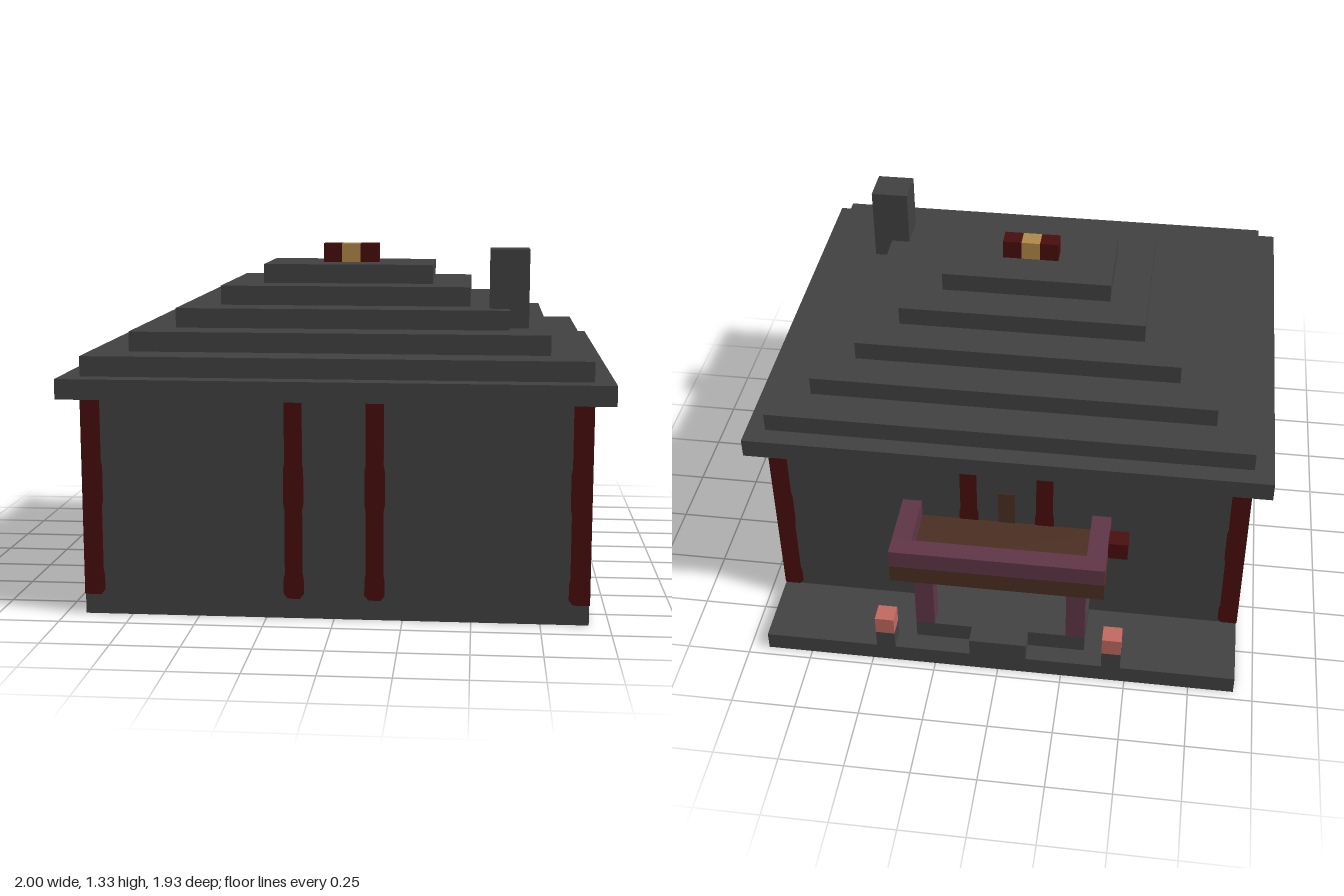
import * as THREE from 'three';

const U = 2 / 27; // one block

const mat = (name, color) => {
  const m = new THREE.MeshStandardMaterial({ color });
  m.name = name;
  return m;
};

export function createModel() {
  const house = new THREE.Group();
  house.name = 'house';
  const stone = mat('dark stone', 0x414141);
  const red = mat('dark red timber', 0x480c0c);
  const purple = mat('purple timber', 0x5e3546);
  const brown = mat('brown timber', 0x4a2e21);
  const gold = mat('gold lantern', 0xb08848);
  const pink = mat('pink lamp', 0xc0685f);

  // Box given by its block limits
  const block = (name, material, x0, x1, y0, y1, z0, z1, parent = house) => {
    const mesh = new THREE.Mesh(
      new THREE.BoxGeometry((x1 - x0) * U, (y1 - y0) * U, (z1 - z0) * U), material);
    mesh.position.set((x0 + x1) / 2 * U, (y0 + y1) / 2 * U, (z0 + z1) / 2 * U);
    mesh.name = name;
    parent.add(mesh);
    return mesh;
  };

  // Walls and the ground slab behind the house
  block('walls', stone, -12.5, 12.5, 0, 11, -9, 12);
  block('rearSlab', stone, -12.5, 12.5, 0, 1, -13, -9);

  // Stepped roof: half width, back z, front z
  const roof = new THREE.Group();
  roof.name = 'roof';
  house.add(roof);
  [[13.5, -10, 13], [12.5, -9, 12], [10.5, -7, 10], [8.5, -5, 8], [6.5, -3, 6], [4.5, -1, 4]]
    .forEach(([w, z0, z1], i) => block('roofStep', stone, -w, w, 11 + i, 12 + i, z0, z1, roof));
  block('chimney', stone, 7.5, 9.5, 13.5, 18, 5, 7, roof);
  block('ridgeCentre', gold, -0.5, 0.5, 17, 18, 1, 2, roof);
  for (const s of [-1, 1]) block('ridgeEnd', red, s - 0.5, s + 0.5, 17, 18, 1, 2, roof);

  // Wall timber: slim strip with a thicker foot and knot; flat = side kept straight at a corner
  const outline = (flat) => {
    const edge = [[0.3, 1], [0.5, 1.25], [0.5, 2], [0.44, 2.3], [0.44, 5.5],
      [0.5, 5.8], [0.5, 7.5], [0.44, 7.8], [0.44, 11]];
    const side = (s) => edge.map(([w, y]) =>
      new THREE.Vector2(s * (flat === s ? 0.5 : w) * U, y * U));
    return new THREE.Shape([...side(1), ...side(-1).reverse()]);
  };
  const timbers = new THREE.Group();
  timbers.name = 'wallTimbers';
  house.add(timbers);
  const timber = (x, z, turn, flat = 0) => {
    const g = new THREE.ExtrudeGeometry(outline(flat), { depth: 0.006, bevelEnabled: false });
    g.translate(0, 0, -0.003);
    const mesh = new THREE.Mesh(g, red);
    mesh.name = 'wallTimber';
    mesh.position.set(x * U, 0, z * U);
    mesh.rotation.y = turn;
    timbers.add(mesh);
  };
  for (const s of [-1, 1]) {
    timber(s * 12, 12, 0, s);
    timber(s * 2, 12, 0);
    timber(s * 12, -9, Math.PI, -s);
    timber(s * 2, -9, Math.PI);
    timber(s * 12.5, 11.5, s * Math.PI / 2, -s);
    timber(s * 12.5, 1.5, s * Math.PI / 2);
    timber(s * 12.5, -8.5, s * Math.PI / 2, s);
  }

  // Rear porch: platform, step, door strip and handle
  const porch = new THREE.Group();
  porch.name = 'porch';
  house.add(porch);
  block('platform', stone, -4.5, 4.5, 1, 2, -12, -9, porch);
  block('frontStep', stone, -1.5, 1.5, 1, 2, -13, -12, porch);
  block('doorStrip', brown, -0.44, 0.44, 2, 9, -9.05, -8.95, porch);
  block('doorLantern', gold, -1.5, -0.5, 3, 4, -10, -9, porch);

  // Canopy with a raised rim
  block('canopy', brown, -5.5, 5.5, 6, 7, -13, -9, porch);
  block('canopyRimBack', purple, -5.5, 5.5, 7, 8, -13, -12, porch);
  block('canopyHook', red, -6.5, -5.5, 7, 8, -11, -10, porch);
  for (const s of [-1, 1]) {
    block('canopyRimSide', purple, s * 5 - 0.5, s * 5 + 0.5, 7, 8, -12, -9, porch);
    block('post', purple, s * 4 - 0.5, s * 4 + 0.5, 2, 6, -12, -11, porch);
    block('hangingLantern', gold, s * 4 - 0.5, s * 4 + 0.5, 5, 6, -11, -10, porch);
    block('lampPedestal', stone, s * 6 - 0.5, s * 6 + 0.5, 1, 2, -13, -12, porch);
    block('lamp', pink, s * 6 - 0.5, s * 6 + 0.5, 2, 3, -13, -12, porch);
  }
  return house;
}
